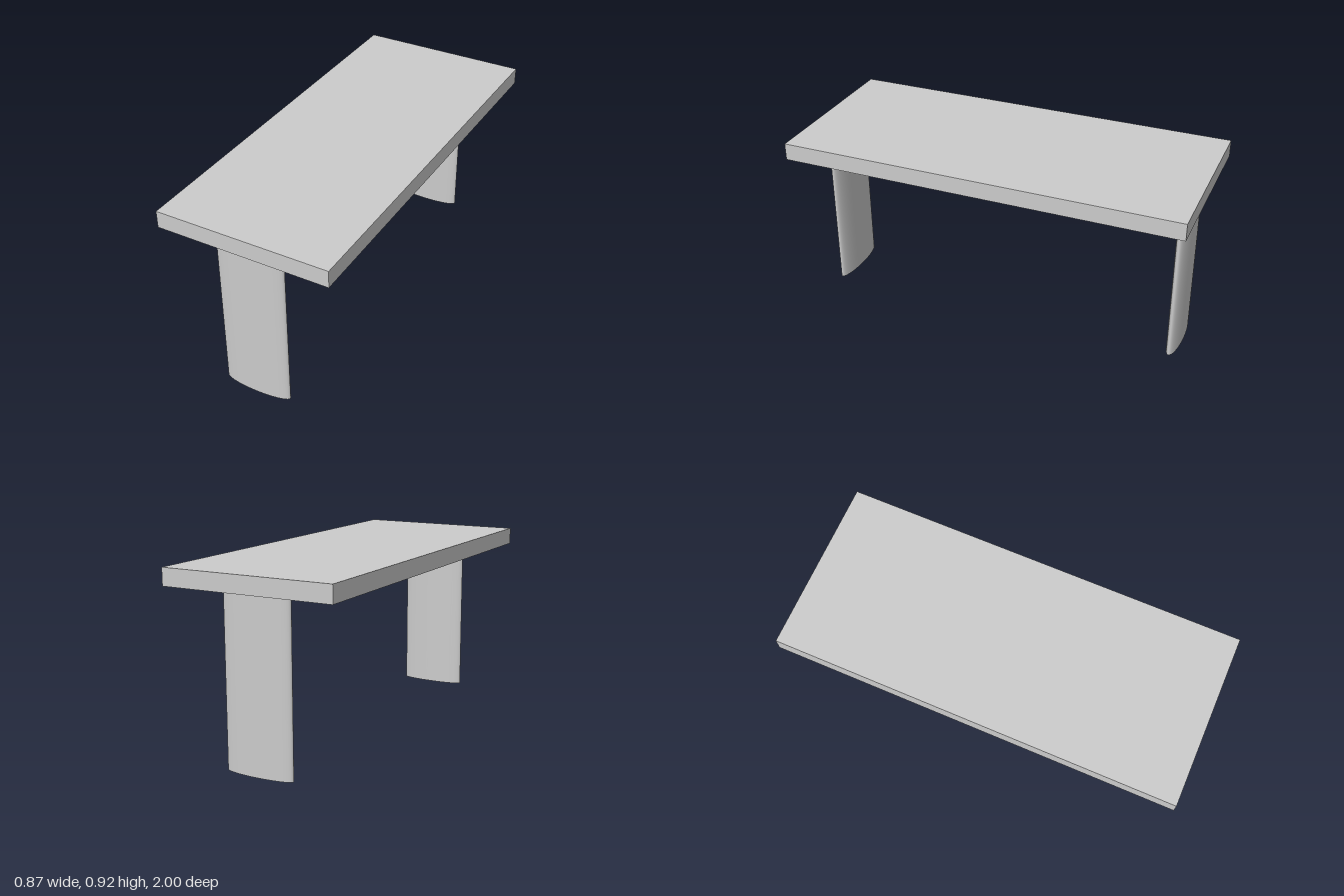
import * as THREE from 'three';

export function createModel() {
  const group = new THREE.Group();
  const material = new THREE.MeshStandardMaterial({ color: 0xcccccc });
  const legHeight = 0.83, topThickness = 0.085;

  // Flat rectangular slab
  const top = new THREE.Mesh(new THREE.BoxGeometry(0.866, topThickness, 2), material);
  top.name = 'tableTop';
  top.position.y = legHeight + topThickness / 2;
  group.add(top);

  // Two broad legs with an elliptical section, one near each end
  const legGeometry = new THREE.CylinderGeometry(1, 1, legHeight, 40).scale(0.1735, 1, 0.035);
  for (const [name, z] of [['frontLeg', 0.916], ['backLeg', -0.916]]) {
    const leg = new THREE.Mesh(legGeometry, material);
    leg.name = name;
    leg.position.set(-0.009, legHeight / 2, z);
    group.add(leg);
  }
  return group;
}
